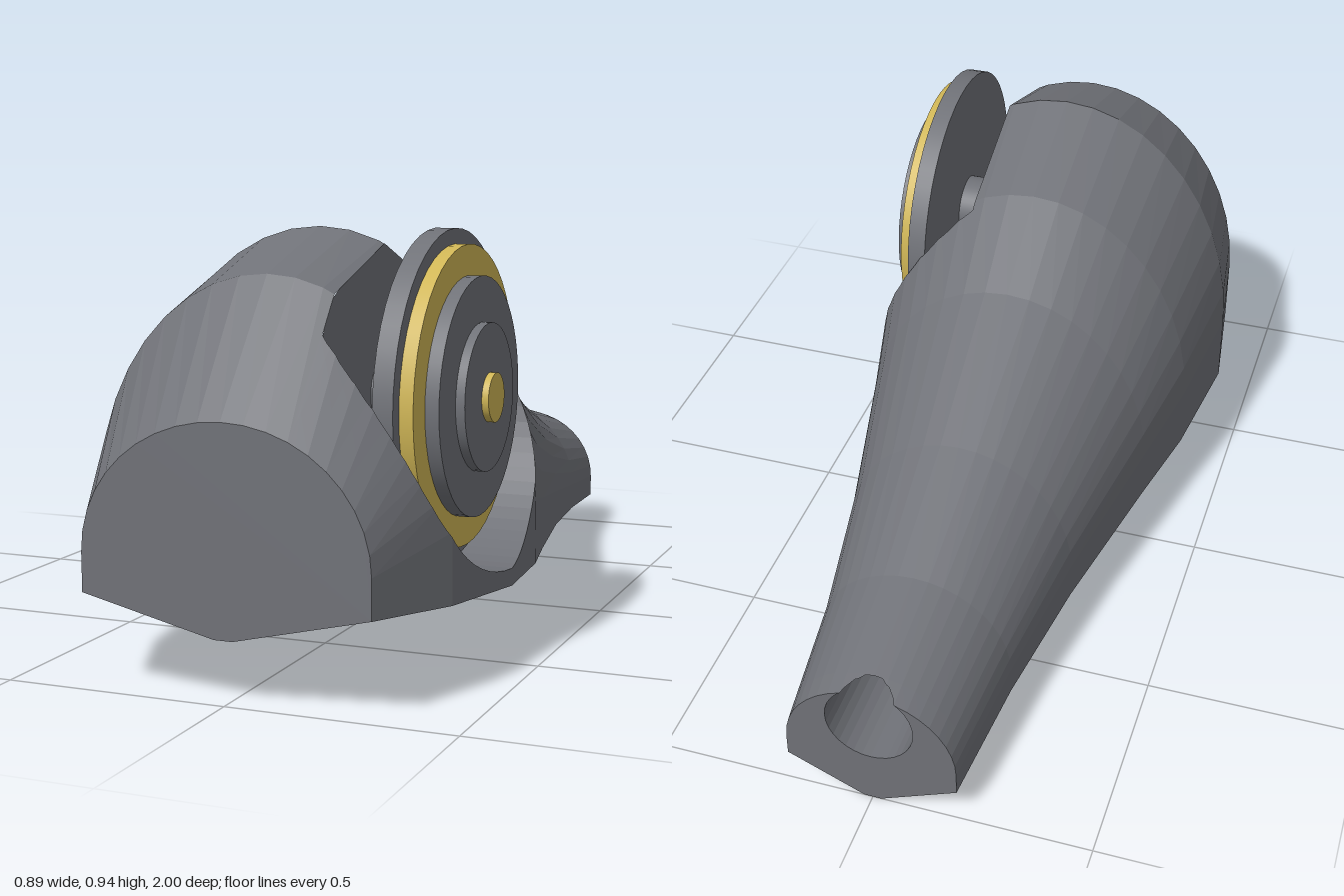
import * as THREE from 'three';

const gray = new THREE.MeshStandardMaterial({ color: 0x707278 });
gray.name = 'gunmetal gray';
const gold = new THREE.MeshStandardMaterial({ color: 0xd0b656 });
gold.name = 'brass gold';

// Hull stations from front to back: z, half width, top height
const STATIONS = [
  [1, 0.32, 0.575], [0.78, 0.405, 0.85], [0.51, 0.443, 0.935], [0.22, 0.405, 0.825], [0, 0.355, 0.68],
  [-0.38, 0.275, 0.505], [-0.7, 0.225, 0.385], [-0.95, 0.2, 0.33], [-1, 0.195, 0.318],
];
const POCKET = { y: 0.58, z: 0.51, r: 0.367, floor: 0.15, n: 64 };
const BORE = { y: 0.23, r: 0.1, floor: -0.7, n: 32 };
const v = (x, y, z) => new THREE.Vector3(x, y, z);

// Hull measurements at any z
function hullAt(z) {
  let i = 0;
  while (i < STATIONS.length - 2 && z < STATIONS[i + 1][0]) i++;
  const [a, b] = [STATIONS[i], STATIONS[i + 1]];
  const t = (z - a[0]) / (b[0] - a[0]);
  const w = a[1] + (b[1] - a[1]) * t, top = a[2] + (b[2] - a[2]) * t;
  const base = 0.143 + 0.0625 * z;
  return { w, top, base, keel: 0.0675 + 0.0675 * z, mid: base + 0.23 * (top - base) };
}

// Half width of the hull at a height, or -1 above it
function halfWidth(y, z) {
  const h = hullAt(z);
  const s = Math.max(0, (y - h.mid) / (h.top - h.mid));
  return s > 1 ? -1 : h.w * Math.sqrt(1 - s * s);
}

// Domed cross-section with straight lower walls and a shallow V keel
function section(z, segments = 20) {
  const h = hullAt(z), k = 0.02, pts = [v(h.w, h.base, z)];
  for (let i = 0; i <= segments; i++) {
    const a = Math.PI * i / segments;
    pts.push(v(h.w * Math.cos(a), h.mid + (h.top - h.mid) * Math.sin(a), z));
  }
  pts.push(v(-h.w, h.base, z), v(-k, h.keel, z), v(k, h.keel, z));
  return pts;
}

// Part of a convex polygon on one side of a plane
function clip(poly, { n, d }, sign) {
  const out = [];
  poly.forEach((p, i) => {
    const q = poly[(i + 1) % poly.length];
    const a = sign * (n.dot(p) - d), b = sign * (n.dot(q) - d);
    if (a >= 0) out.push(p);
    if ((a > 0 && b < 0) || (a < 0 && b > 0)) out.push(p.clone().lerp(q, a / (a - b)));
  });
  return out.length > 2 ? out : [];
}

// Remove the inside of a convex prism from a list of polygons
function cut(polys, planes) {
  return polys.flatMap((poly) => {
    let rest = poly;
    const kept = [];
    for (const plane of planes) {
      const outside = clip(rest, plane, 1);
      if (outside.length) kept.push(outside);
      rest = clip(rest, plane, -1);
      if (!rest.length) return [poly];
    }
    return kept;
  });
}

// Side planes of a round prism; dir turns an angle into a direction
function prismPlanes(center, r, n, dir) {
  return Array.from({ length: n }, (_, i) => {
    const normal = dir((i + 0.5) * 2 * Math.PI / n);
    return { n: normal, d: normal.dot(center) + r * Math.cos(Math.PI / n) };
  });
}

// Last value from lo towards hi for which test holds
function bisect(lo, hi, test) {
  for (let i = 0; i < 30; i++) {
    const m = (lo + hi) / 2;
    if (test(m)) lo = m; else hi = m;
  }
  return lo;
}

// Faceted mesh from convex polygons
function polyMesh(name, polys, material) {
  const pts = [];
  for (const p of polys) for (let i = 1; i < p.length - 1; i++) pts.push(p[0], p[i], p[i + 1]);
  const geo = new THREE.BufferGeometry().setFromPoints(pts);
  geo.computeVertexNormals();
  const mesh = new THREE.Mesh(geo, material);
  mesh.name = name;
  return mesh;
}

// Outer skin with the side pocket and rear bore cut away
function hullPolys() {
  const rings = STATIONS.map((s) => section(s[0]));
  let polys = [rings[0], [...rings[rings.length - 1]].reverse()];
  for (let i = 0; i < rings.length - 1; i++) {
    const [a, b] = [rings[i], rings[i + 1]];
    a.forEach((p, j) => {
      const k = (j + 1) % a.length;
      polys.push([p, b[j], b[k]], [p, b[k], a[k]]);
    });
  }
  polys = cut(polys, [
    { n: v(-1, 0, 0), d: -POCKET.floor },
    ...prismPlanes(v(0, POCKET.y, POCKET.z), POCKET.r, POCKET.n, (t) => v(0, Math.cos(t), Math.sin(t))),
  ]);
  return cut(polys, [
    { n: v(0, 0, 1), d: BORE.floor },
    ...prismPlanes(v(0, BORE.y, 0), BORE.r, BORE.n, (t) => v(Math.cos(t), Math.sin(t), 0)),
  ]);
}

// Floor and wall of the round pocket on the left side
function pocketPolys() {
  const { y, z, r, floor, n } = POCKET, polys = [];
  const edge = (i) => {
    const t = i * 2 * Math.PI / n;
    const at = (q) => [y + q * Math.cos(t), z + q * Math.sin(t)];
    const open = (q) => halfWidth(...at(q)) > floor;
    const p = at(open(r) ? r : bisect(0, r, open));
    return [v(floor, ...p), v(Math.max(floor, halfWidth(...p)), ...p)];
  };
  for (let i = 0; i < n; i++) {
    const [f, u] = edge(i), [f2, u2] = edge(i + 1);
    polys.push([v(floor, y, z), f, f2], [f, u, u2, f2]);
  }
  return polys;
}

// Floor and wall of the bore in the rear end
function borePolys() {
  const { y, r, floor, n } = BORE, polys = [];
  const edge = (i) => {
    const t = i * 2 * Math.PI / n, px = r * Math.cos(t), py = y + r * Math.sin(t);
    const inside = (z) => halfWidth(py, z) >= Math.abs(px);
    const end = inside(-1) ? -1 : bisect(floor, -1, inside);
    return [v(px, py, floor), v(px, py, end)];
  };
  for (let i = 0; i < n; i++) {
    const [f, u] = edge(i), [f2, u2] = edge(i + 1);
    polys.push([v(0, y, floor), f2, f], [f, f2, u2, u]);
  }
  return polys;
}

export function createModel() {
  const model = new THREE.Group();
  model.name = 'model';
  model.add(
    polyMesh('hull', hullPolys(), gray),
    polyMesh('sidePocket', pocketPolys(), gray),
    polyMesh('rearBore', borePolys(), gray),
  );

  // Stepped dial set in the pocket: name, inner x, outer x, radius, material
  const dial = new THREE.Group();
  dial.name = 'dial';
  for (const [name, x0, x1, r, material] of [
    ['dialHub', 0.15, 0.266, 0.08, gray],
    ['dialBase', 0.266, 0.31, 0.356, gray],
    ['dialGoldRing', 0.31, 0.34, 0.323, gold],
    ['dialPlate', 0.34, 0.37, 0.257, gray],
    ['dialCap', 0.37, 0.39, 0.159, gray],
    ['dialGoldStud', 0.39, 0.405, 0.053, gold],
  ]) {
    const disc = new THREE.Mesh(new THREE.CylinderGeometry(r, r, x1 - x0, 48), material);
    disc.name = name;
    disc.rotation.z = -Math.PI / 2;
    disc.position.set((x0 + x1) / 2, POCKET.y, POCKET.z);
    dial.add(disc);
  }
  model.add(dial);
  return model;
}
